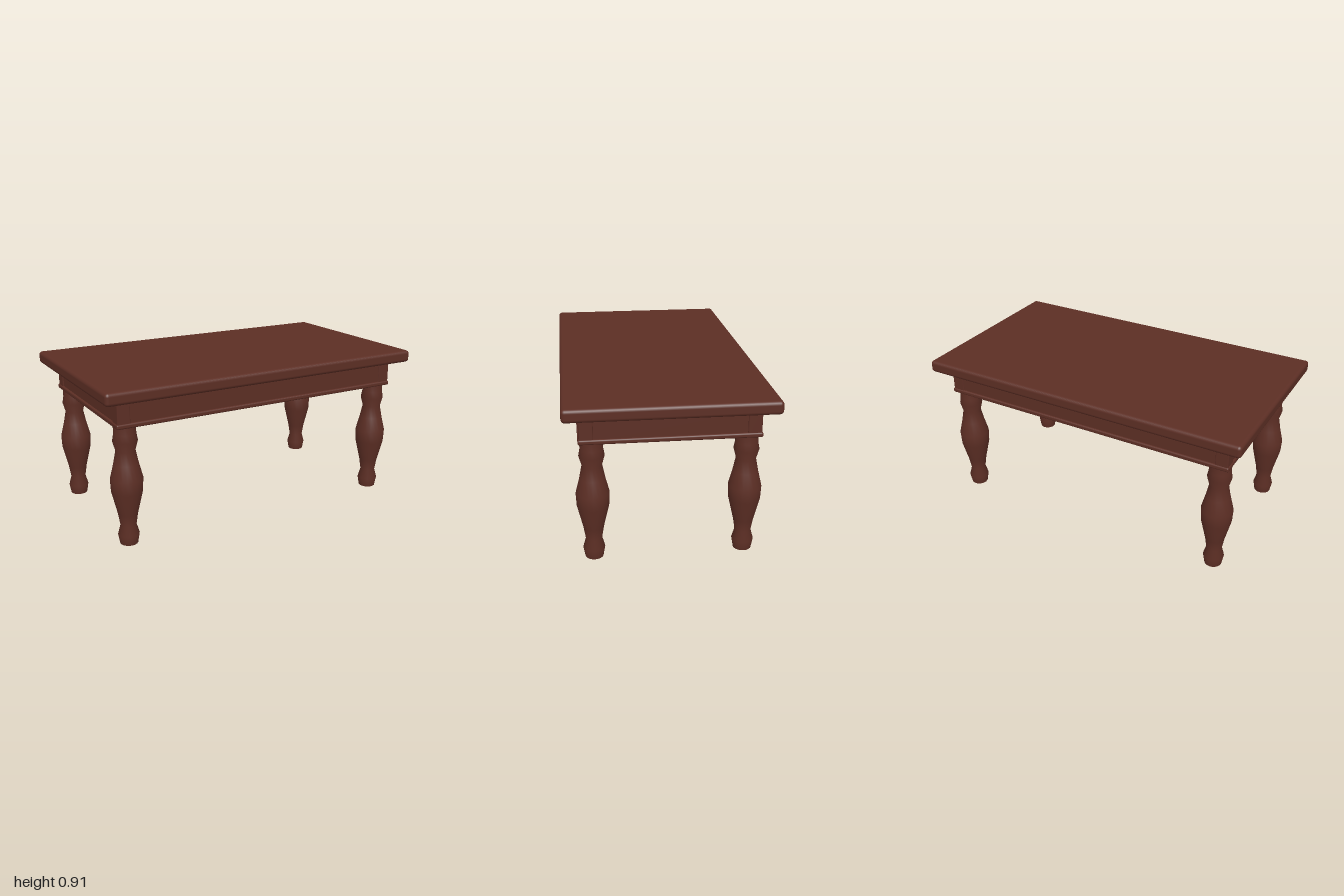
import * as THREE from 'three';
import { RoundedBoxGeometry } from 'three/addons/geometries/RoundedBoxGeometry.js';

export function createModel() {
  const table = new THREE.Group();
  table.name = 'table';
  const wood = new THREE.MeshStandardMaterial({ color: 0x5c2e24 });
  wood.name = 'dark red wood';

  const add = (name, geometry, x, y, z) => {
    const mesh = new THREE.Mesh(geometry, wood);
    mesh.name = name;
    mesh.position.set(x, y, z);
    table.add(mesh);
    return mesh;
  };

  // Table top with softened edges
  add('tableTop', new RoundedBoxGeometry(2, 0.072, 1.122, 3, 0.02), 0, 0.875, 0);

  // Apron with a thin strip under the top and a rounded moulding below
  add('apron', new THREE.BoxGeometry(1.806, 0.15, 0.942), 0, 0.765, 0);
  add('apronTopStrip', new THREE.BoxGeometry(1.814, 0.008, 0.95), 0, 0.836, 0);
  add('apronMoulding', new RoundedBoxGeometry(1.83, 0.027, 0.964, 2, 0.009), 0, 0.6985, 0);

  // Turned leg profile: radius, height
  const profile = [
    [0, 0], [0.05, 0], [0.06, 0.055], [0.0445, 0.11], [0.056, 0.18],
    [0.087, 0.31], [0.0905, 0.385], [0.069, 0.47], [0.054, 0.545],
    [0.069, 0.6], [0.0615, 0.64], [0.0615, 0.69],
  ].map(([r, y]) => new THREE.Vector2(r, y));
  // Separate sole keeps the bottom edge sharp
  const legGeometry = new THREE.LatheGeometry(profile.slice(1), 20);
  const soleGeometry = new THREE.LatheGeometry(profile.slice(0, 2), 20);
  const postGeometry = new RoundedBoxGeometry(0.075, 0.15, 0.075, 1, 0.006);

  // Four legs with corner posts above
  for (const sx of [-1, 1]) {
    for (const sz of [-1, 1]) {
      add('leg', legGeometry, sx * 0.845, 0, sz * 0.411);
      add('legSole', soleGeometry, sx * 0.845, 0, sz * 0.411);
      add('cornerPost', postGeometry, sx * 0.872, 0.775, sz * 0.439);
    }
  }
  return table;
}
